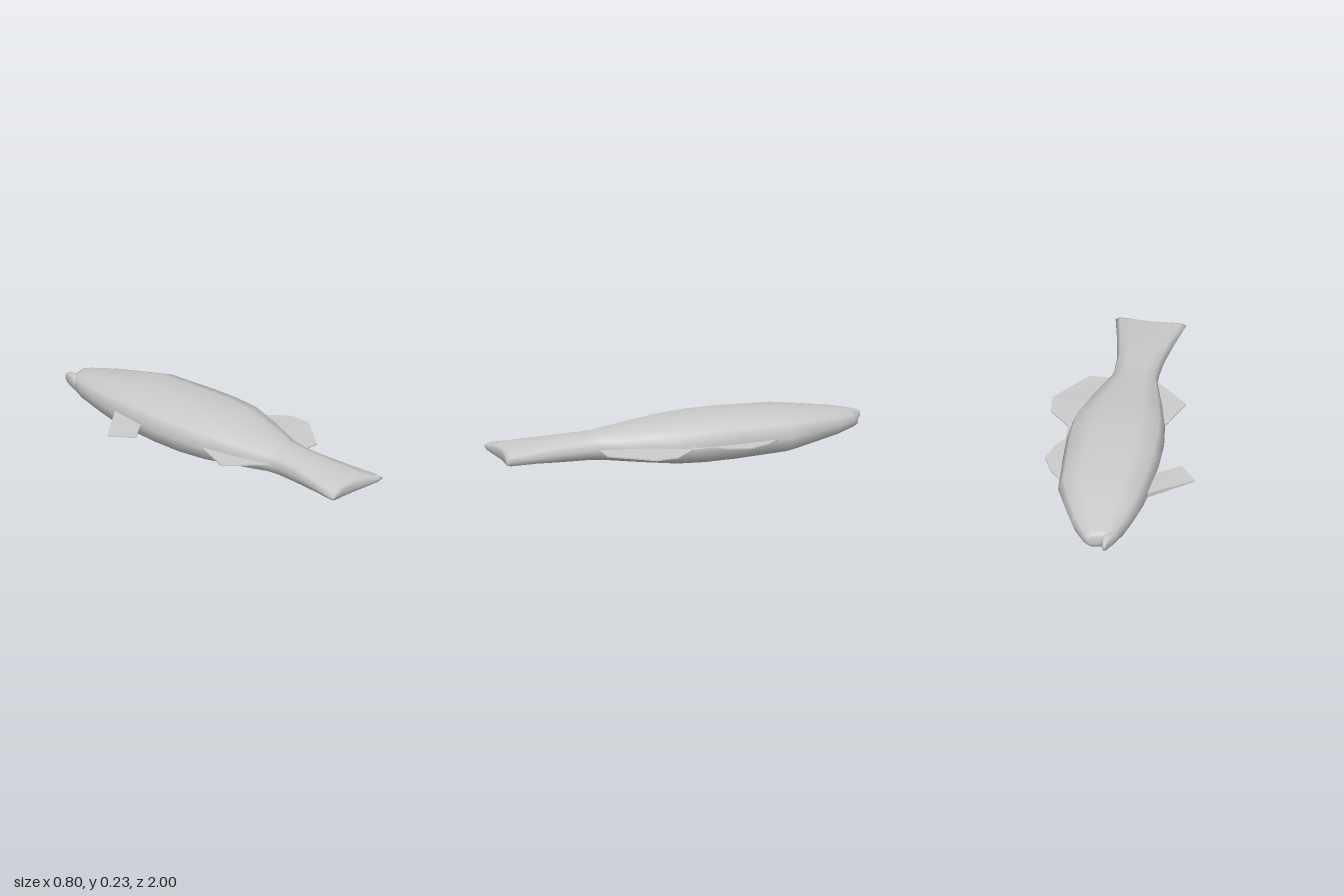
import * as THREE from 'three';

const MID = 0.117; // height of the plane the fish lies in
const material = new THREE.MeshStandardMaterial({ color: 0xcccccc, side: THREE.DoubleSide });

// Upper half of the flattened twelve-sided cross-section (the lower half mirrors it)
const HALF = [[-1, 0], [-0.88, 0.65], [-0.51, 0.95], [0, 1], [0.51, 0.95], [0.88, 0.65]];
const RING = [...HALF, ...HALF.map(([u, v]) => [-u, -v])];

// Skin a row of sections: [left x, right x, z at left, z at right, half height, z bulge at centre]
function loft(name, sections) {
  const positions = [], index = [], n = RING.length;
  const put = (s, u, v) => {
    const [x0, x1, z0, z1, h, bulge = 0] = s, t = (u + 1) / 2;
    positions.push(x0 + (x1 - x0) * t, MID + v * h, z0 + (z1 - z0) * t + bulge * (1 - u * u));
  };
  sections.forEach((s) => RING.forEach(([u, v]) => put(s, u, v)));
  for (let s = 0; s < sections.length - 1; s++) {
    for (let i = 0; i < n; i++) {
      const j = (i + 1) % n, a = s * n + i, b = s * n + j;
      index.push(a, a + n, b, b, a + n, b + n);
    }
  }
  // End caps, fanned from the spine so that the forked tail stays concave
  const last = sections.length - 1;
  [[0, false], [last, true]].forEach(([s, flip]) => {
    const spine = positions.length / 3;
    HALF.forEach(([u]) => put(sections[s], u, 0));
    put(sections[s], 1, 0);
    const tri = (a, b, c) => index.push(a, flip ? c : b, flip ? b : c);
    for (let i = 0; i < 6; i++) {
      const top = s * n + i, low = s * n + (n - i) % n, low2 = s * n + n - i - 1;
      tri(spine + i, top, top + 1);
      tri(spine + i, top + 1, spine + i + 1);
      tri(spine + i, spine + i + 1, low2);
      tri(spine + i, low2, low);
    }
  });
  const geometry = new THREE.BufferGeometry();
  geometry.setAttribute('position', new THREE.Float32BufferAttribute(positions, 3));
  geometry.setIndex(index);
  geometry.computeVertexNormals();
  const mesh = new THREE.Mesh(geometry, material);
  mesh.name = name;
  return mesh;
}

// Thin fin from an outline of [x, z]; it tapers from the buried root to a sharp rim
function fin(name, root, rim) {
  const outline = [...root, ...rim];
  const shape = new THREE.Shape(outline.map(([x, z]) => new THREE.Vector2(x, -z)));
  const geometry = new THREE.ExtrudeGeometry(shape, { depth: 1, bevelEnabled: false });
  geometry.rotateX(-Math.PI / 2);
  const p = geometry.attributes.position;
  for (let i = 0; i < p.count; i++) {
    const atRoot = root.some(([x, z]) => Math.hypot(x - p.getX(i), z - p.getZ(i)) < 1e-4);
    p.setY(i, MID + (p.getY(i) - 0.5) * (atRoot ? 0.024 : 0.006));
  }
  geometry.computeVertexNormals();
  const mesh = new THREE.Mesh(geometry, material);
  mesh.name = name;
  return mesh;
}

export function createModel() {
  const fish = new THREE.Group();
  fish.name = 'fish';

  // Body from snout to forked tail
  fish.add(loft('body', [
    [0.005, 0.07, -0.945, -0.95, 0.02],
    [-0.03, 0.088, -0.93, -0.95, 0.038],
    [-0.06, 0.115, -0.91, -0.915, 0.047],
    [-0.1, 0.175, -0.83, -0.81, 0.063],
    [-0.145, 0.23, -0.67, -0.66, 0.085],
    [-0.178, 0.278, -0.53, -0.52, 0.104],
    [-0.205, 0.285, -0.25, -0.25, 0.113],
    [-0.21, 0.285, -0.08, -0.08, 0.113],
    [-0.197, 0.272, 0.08, 0.06, 0.106],
    [-0.165, 0.21, 0.25, 0.24, 0.088],
    [-0.117, 0.13, 0.46, 0.43, 0.066],
    [-0.117, 0.113, 0.52, 0.52, 0.062],
    [-0.13, 0.11, 0.64, 0.65, 0.059],
    [-0.165, 0.13, 0.81, 0.82, 0.046],
    [-0.2, 0.153, 0.95, 0.97, 0.034, -0.015],
    [-0.203, 0.157, 0.97, 0.99, 0.026, -0.025],
    [-0.19, 0.147, 0.977, 0.998, 0.012, -0.03],
  ]));

  // Lower jaw reaching past the snout
  fish.add(loft('lowerJaw', [
    [-0.016, -0.004, -1, -1, 0.012],
    [-0.024, 0.002, -0.988, -0.988, 0.026],
    [-0.045, 0.012, -0.95, -0.95, 0.033],
    [-0.072, 0.02, -0.89, -0.89, 0.038],
  ]));

  // Fins along the back
  fish.add(fin('frontDorsalFin', [[0.27, 0.04], [0.23, -0.1], [0.25, -0.45]],
    [[0.28, -0.43], [0.33, -0.37], [0.375, -0.25], [0.33, -0.13], [0.29, -0.08], [0.29, 0.03]]));
  fish.add(fin('rearDorsalFin', [[0.08, 0.46], [0.17, 0.22], [0.25, 0]],
    [[0.287, 0.03], [0.39, 0.155], [0.395, 0.275], [0.23, 0.48], [0.12, 0.475]]));

  // Fins along the belly
  fish.add(fin('analFin', [[-0.17, 0.08], [-0.13, 0.25], [-0.09, 0.45]],
    [[-0.12, 0.46], [-0.28, 0.29], [-0.2, 0.1]]));
  fish.add(fin('pectoralFin', [[-0.15, -0.32], [-0.15, -0.53], [-0.18, -0.52]],
    [[-0.4, -0.37], [-0.32, -0.25], [-0.265, -0.285], [-0.195, -0.33]]));

  return fish;
}
